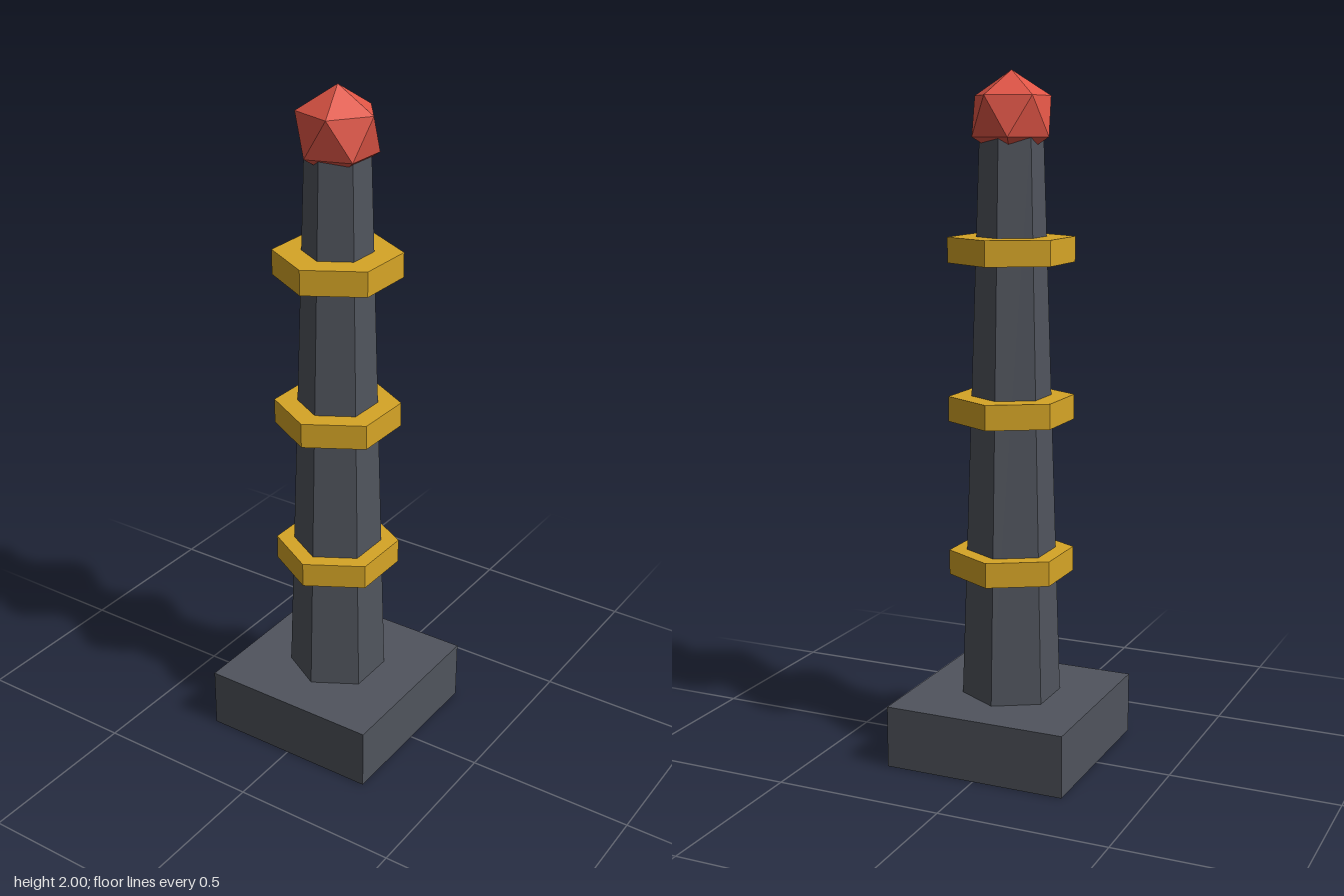
import * as THREE from 'three';

const flat = (name, color) => new THREE.MeshStandardMaterial({ name, color, flatShading: true });

export function createModel() {
  const group = new THREE.Group();
  group.name = 'tower';
  const stone = flat('dark stone', 0x50545d);
  const gold = flat('gold', 0xd6a526);
  const crystal = flat('red crystal', 0xe05546);

  const add = (name, geometry, material, y) => {
    const mesh = new THREE.Mesh(geometry, material);
    mesh.name = name;
    mesh.position.y = y;
    group.add(mesh);
    return mesh;
  };

  // Square plinth and tapered six-sided column
  const baseHeight = 0.183, columnHeight = 1.645;
  add('base', new THREE.BoxGeometry(0.549, baseHeight, 0.549), stone, baseHeight / 2);
  add('column', new THREE.CylinderGeometry(0.091, 0.146, columnHeight, 6), stone, baseHeight + columnHeight / 2);

  // Three equal hexagonal bands
  for (let i = 0; i < 3; i++) {
    add(`band${i + 1}`, new THREE.CylinderGeometry(0.183, 0.183, 0.073, 6), gold, 0.587 + i * 0.457);
  }

  // Icosahedron tilted to stand on a point
  const radius = 0.1275;
  const tilt = -Math.atan(2 / (1 + Math.sqrt(5)));
  add('beacon', new THREE.IcosahedronGeometry(radius, 0).rotateZ(tilt), crystal, 2 - radius);

  return group;
}
